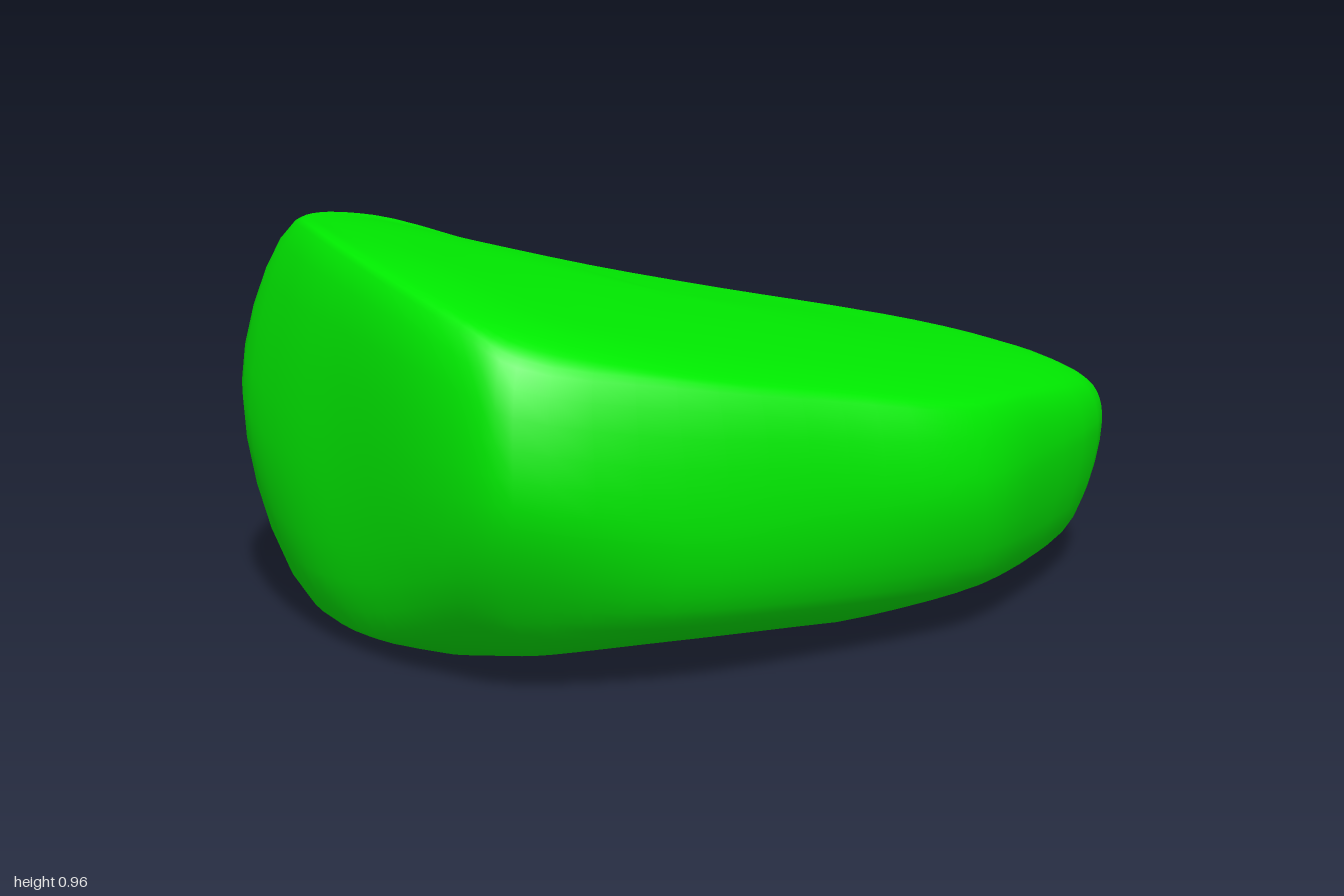
import * as THREE from 'three';

// Sections round the stone, from the left end through the front:
// bottom rim, waist and top rim, each as x, y, z
const SECTIONS = [
  [0.94, 0.11, 0.13, 0.995, 0.38, 0.15, 0.975, 0.44, 0.13],
  [0.87, 0.11, 0.33, 0.93, 0.37, 0.38, 0.915, 0.46, 0.36],
  [0.50, 0.12, 0.56, 0.54, 0.38, 0.62, 0.50, 0.54, 0.60],
  [0.30, 0.15, 0.65, 0.27, 0.38, 0.73, 0.25, 0.57, 0.69],
  [-0.10, 0.18, 0.65, -0.10, 0.40, 0.71, -0.10, 0.64, 0.67],
  [-0.50, 0.21, 0.60, -0.50, 0.42, 0.66, -0.50, 0.72, 0.62],
  [-0.82, 0.23, 0.45, -0.87, 0.50, 0.55, -0.83, 0.79, 0.51],
  [-0.88, 0.17, 0.27, -0.94, 0.50, 0.41, -0.89, 0.85, 0.37],
  [-0.91, 0.07, 0.00, -0.98, 0.47, 0.00, -0.92, 0.92, 0.00],
  [-0.91, 0.05, -0.26, -1.00, 0.46, -0.30, -0.90, 0.95, -0.28],
  [-0.85, 0.05, -0.45, -0.95, 0.55, -0.56, -0.84, 0.94, -0.47],
  [-0.72, 0.03, -0.54, -0.74, 0.58, -0.70, -0.68, 0.91, -0.62],
  [-0.50, 0.03, -0.54, -0.55, 0.58, -0.73, -0.50, 0.87, -0.66],
  [-0.15, 0.03, -0.43, -0.20, 0.50, -0.61, -0.19, 0.75, -0.57],
  [0.35, 0.03, -0.28, 0.35, 0.40, -0.39, 0.34, 0.60, -0.36],
  [0.77, 0.11, -0.17, 0.81, 0.34, -0.20, 0.80, 0.45, -0.18],
];
const AROUND = 64, UP = 40;

// Height of the gently domed top, with a slight crest at the back
const topHeight = (x, z) => 0.735 - 0.25 * x - 0.15 * (z + 0.12 - 0.25 * x) ** 2
  + 0.03 * Math.exp(-((x + 0.55) ** 2 + (z + 0.6) ** 2) / 0.12);

// Height of the underside, which rises towards both ends and the front right
const baseHeight = (x, z) => 0.005 + 0.1 * (z + 0.3) ** 2
  + 0.25 * Math.max(0, Math.abs(x + 0.2) - 0.55) ** 2
  + 0.2 * Math.max(0, z - 0.1) * Math.max(0, -x);

// Closed smooth loop through one rim of all sections
const ring = (k) => new THREE.CatmullRomCurve3(
  SECTIONS.map((s) => new THREE.Vector3(s[3 * k], s[3 * k + 1], s[3 * k + 2])), true, 'centripetal');

// Point on a domed face, moved in from a rim point towards the middle
function inward(rim, t, height) {
  const x = THREE.MathUtils.lerp(rim.x, -0.1, t), z = THREE.MathUtils.lerp(rim.z, 0, t);
  return new THREE.Vector3(x, height(x, z), z);
}

function stoneGeometry() {
  const rings = [0, 1, 2].map(ring);
  const positions = [], index = [];
  for (let i = 0; i < AROUND; i++) {
    const [low, mid, high] = rings.map((r) => r.getPoint(i / AROUND));
    // Profile from the middle of the underside, over the waist, to the middle of the top
    const profile = new THREE.CatmullRomCurve3([
      ...[1, 0.5, 0.16].map((t) => inward(low, t, baseHeight)),
      low, mid, high,
      ...[0.1, 0.5, 1].map((t) => inward(high, t, topHeight)),
    ], false, 'centripetal');
    for (let j = 0; j <= UP; j++) positions.push(...profile.getPoint(j / UP).toArray());
  }
  for (let i = 0; i < AROUND; i++) {
    for (let j = 0; j < UP; j++) {
      const a = i * (UP + 1) + j, b = ((i + 1) % AROUND) * (UP + 1) + j;
      if (j < UP - 1) index.push(a, a + 1, b + 1);
      if (j > 0) index.push(a, b + 1, b);
    }
  }
  const geometry = new THREE.BufferGeometry();
  geometry.setAttribute('position', new THREE.Float32BufferAttribute(positions, 3));
  geometry.setIndex(index);
  geometry.computeVertexNormals();

  // One shared normal at the middle of the underside and of the top
  const normals = geometry.attributes.normal, v = new THREE.Vector3();
  for (const j of [0, UP]) {
    const sum = new THREE.Vector3();
    for (let i = 0; i < AROUND; i++) sum.add(v.fromBufferAttribute(normals, i * (UP + 1) + j));
    sum.normalize();
    for (let i = 0; i < AROUND; i++) normals.setXYZ(i * (UP + 1) + j, sum.x, sum.y, sum.z);
  }
  return geometry;
}

export function createModel() {
  const group = new THREE.Group();
  group.name = 'rock';
  const stone = new THREE.Mesh(stoneGeometry(), new THREE.MeshStandardMaterial({ color: 0x00ec00 }));
  stone.name = 'stone';
  group.add(stone);
  return group;
}
